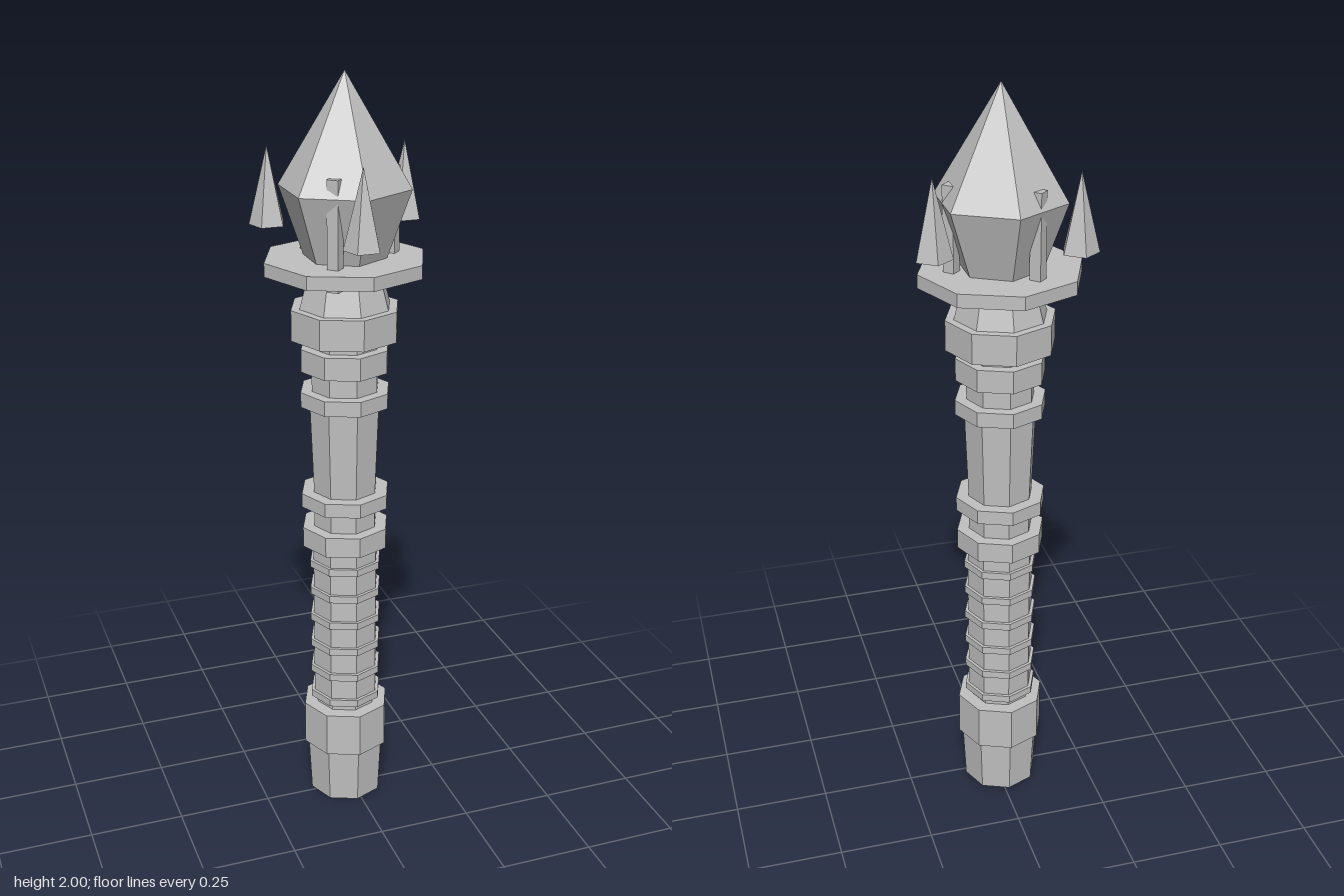
import * as THREE from 'three';

export function createModel() {
  const root = new THREE.Group();
  root.name = 'crystalScepter';
  const stone = new THREE.MeshStandardMaterial({ color: 0xc0c0c0, flatShading: true });
  stone.name = 'grey stone';

  // The staff's axis sits slightly off the centre of the bounding box
  const AX = -0.012, AZ = -0.016;

  // Faceted, optionally tapered section between two heights
  function section(name, y0, y1, r0, r1 = r0, sides = 8, x = AX, z = AZ, turn = 0) {
    const geo = new THREE.CylinderGeometry(r1, r0, y1 - y0, sides);
    const mesh = new THREE.Mesh(geo, stone);
    mesh.name = name;
    mesh.position.set(x, (y0 + y1) / 2, z);
    mesh.rotation.y = turn;
    root.add(mesh);
    return mesh;
  }

  // Pommel and lower collar
  section('pommel', 0, 0.16, 0.101, 0.109);
  section('lowerCollar', 0.157, 0.28, 0.119);

  // Grip with its binding bands
  section('gripNeck', 0.27, 0.31, 0.082);
  section('grip', 0.30, 0.72, 0.09);
  for (let i = 0; i < 6; i++) {
    const y = 0.3 + i * 0.08;
    section('gripBand', y, y + 0.02, 0.099);
  }

  // Guard rings and upper shaft
  section('gripTop', 0.715, 0.77, 0.09);
  section('guardCollar', 0.765, 0.82, 0.118);
  section('guardNeck', 0.81, 0.89, 0.086);
  section('guardRing', 0.88, 0.918, 0.12);
  section('upperShaft', 0.91, 1.17, 0.086, 0.096);
  section('shaftRing', 1.16, 1.2, 0.12);
  section('shaftNeck', 1.19, 1.26, 0.09);
  section('upperRing', 1.255, 1.315, 0.118);
  section('headNeck', 1.31, 1.345, 0.09);

  // Head: collar, sloping socket and wide plate
  section('headCollar', 1.34, 1.42, 0.143);
  section('socket', 1.415, 1.52, 0.122, 0.093);
  section('plate', 1.512, 1.547, 0.21);

  // Six-sided crystal
  section('crystalBase', 1.52, 1.72, 0.097, 0.168, 6);
  section('crystalPoint', 1.72, 2.0, 0.168, 0, 6);

  // Square prongs holding the crystal
  for (let i = 0; i < 3; i++) {
    const a = (i * Math.PI * 2) / 3;
    section('prong', 1.49, 1.765, 0.021, 0.021, 4,
      AX + 0.124 * Math.cos(a), AZ + 0.124 * Math.sin(a));
  }

  // Floating five-sided shards around the crystal
  for (const [x, z] of [[-0.173, -0.139], [0.175, -0.095], [-0.036, 0.184]]) {
    section('shard', 1.612, 1.81, 0.048, 0, 5, x, z, Math.PI);
  }

  return root;
}
